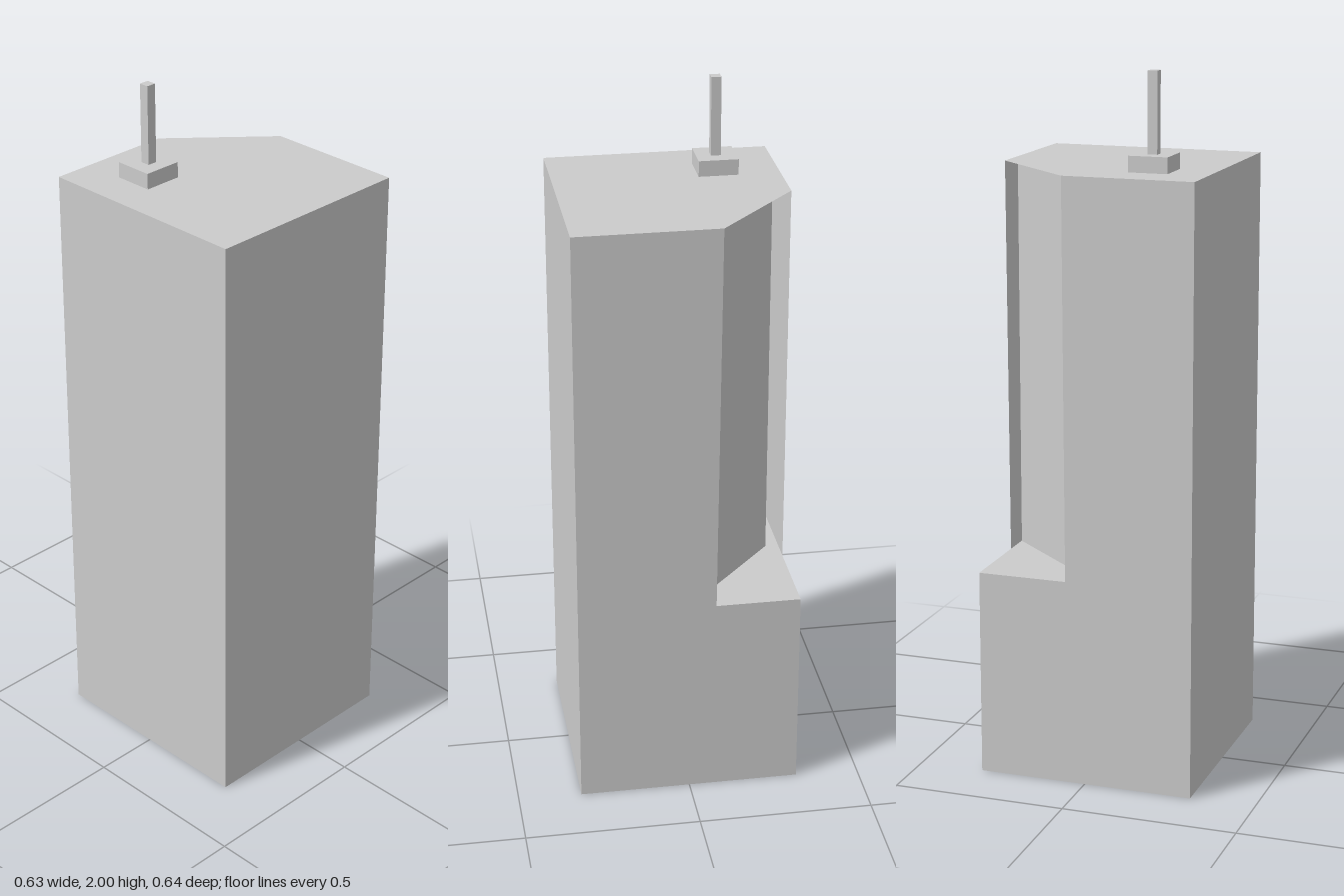
import * as THREE from 'three';

const W = 0.313, D = 0.318, H = 1.73, LEDGE = 0.595;

export function createModel() {
  const model = new THREE.Group();
  const material = new THREE.MeshStandardMaterial({
    color: 0xcccccc, flatShading: true, side: THREE.DoubleSide,
  });

  const add = (name, geometry, x = 0, y = 0, z = 0) => {
    const mesh = new THREE.Mesh(geometry, material);
    mesh.name = name;
    mesh.position.set(x, y, z);
    model.add(mesh);
    return mesh;
  };

  // Flat sheet from an outline of [x, y] corners
  const sheet = (points) =>
    new THREE.ShapeGeometry(new THREE.Shape(points.map(([x, y]) => new THREE.Vector2(x, y))));
  const rect = (w, y0, y1) => sheet([[-w, y0], [w, y0], [w, y1], [-w, y1]]);

  // Full walls of the hollow tower
  add('frontWall', rect(W, 0, H), 0, 0, D);
  add('rightWall', rect(D, 0, H).rotateY(-Math.PI / 2), -W);

  // Walls beside the open corner, stepped at the ledge (local x runs along -z and -x)
  add('leftWall', sheet([
    [-D, 0], [D, 0], [D, LEDGE], [0.076, LEDGE], [0.087, H], [-D, H],
  ]).rotateY(Math.PI / 2), W);
  add('backWall', sheet([
    [-W, 0], [W, 0], [W, H], [-0.06, H], [-0.055, LEDGE], [-W, LEDGE],
  ]).rotateY(Math.PI), 0, 0, -D);

  // Horizontal surfaces: roof with clipped corner, ledge floor and underside
  add('roof', sheet([
    [-W, -D], [W, -D], [W, 0.087], [0.06, D], [-W, D],
  ]).rotateX(-Math.PI / 2), 0, H);
  add('ledgeFloor', rect(W, -D, D).rotateX(-Math.PI / 2), 0, LEDGE);
  add('underside', rect(W, -D, D).rotateX(Math.PI / 2));

  // Diagonal panel set back behind the open corner
  const a = new THREE.Vector2(-0.01, -0.28), b = new THREE.Vector2(0.312, 0.008);
  const height = 1.715 - LEDGE;
  const panel = add('recessedPanel', new THREE.PlaneGeometry(a.distanceTo(b), height),
    (a.x + b.x) / 2, LEDGE + height / 2, (a.y + b.y) / 2);
  panel.rotation.y = Math.atan2(b.y - a.y, a.x - b.x);

  // Rooftop mast on its plinth
  add('mastBase', new THREE.BoxGeometry(0.112, 0.045, 0.112), -0.144, H + 0.0225, -0.144);
  add('mast', new THREE.BoxGeometry(0.028, 0.225, 0.028), -0.143, 1.8875, -0.143);

  return model;
}
